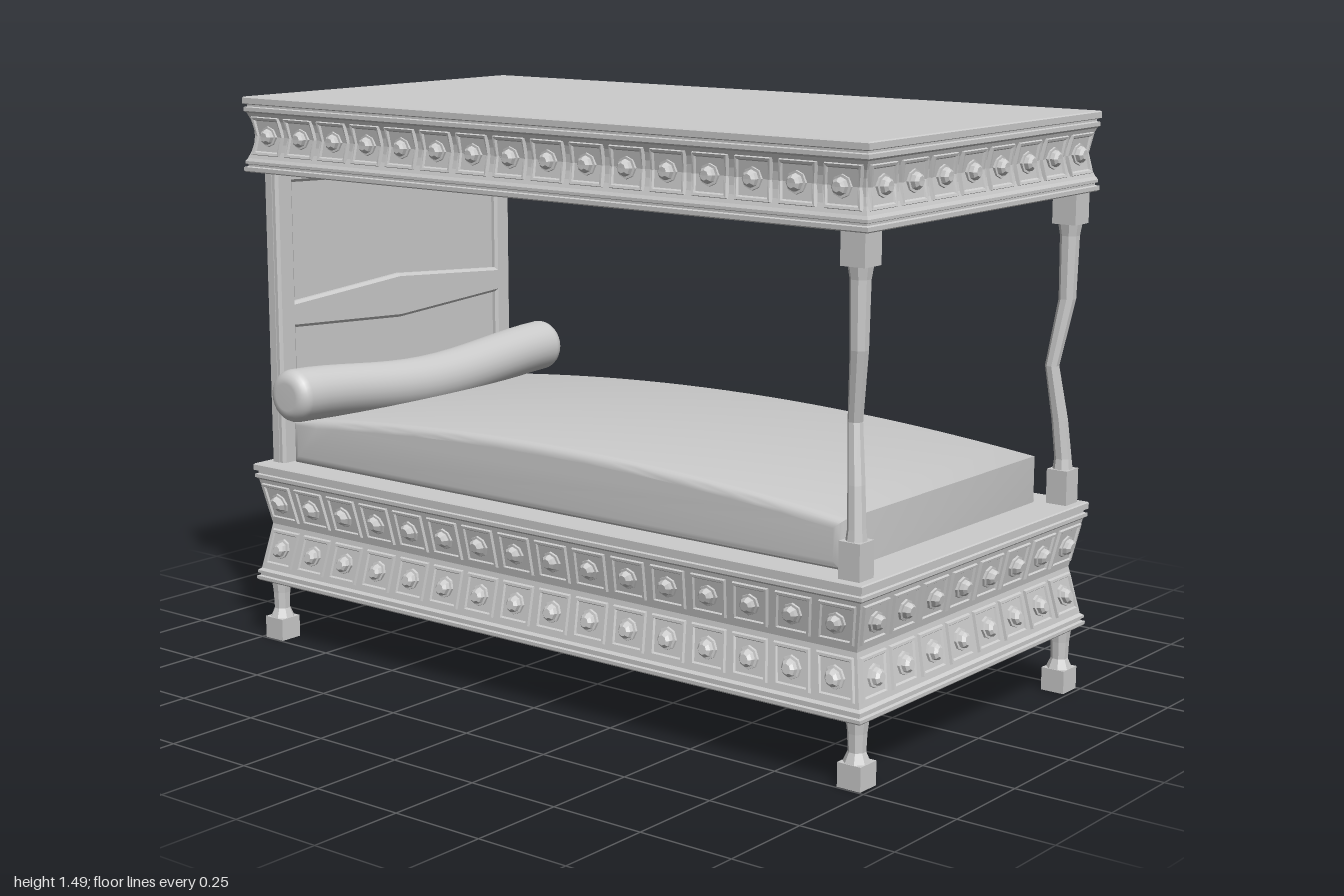
import * as THREE from 'three';
import { toCreasedNormals } from 'three/addons/utils/BufferGeometryUtils.js';

const HX = 0.998, HZ = 0.515;
const smooth = new THREE.MeshStandardMaterial({ color: 0xcccccc });
const flat = new THREE.MeshStandardMaterial({ color: 0xcccccc, flatShading: true });

function add(parent, name, geometry, material = flat, x = 0, y = 0, z = 0) {
  const mesh = new THREE.Mesh(geometry, material);
  mesh.name = name;
  mesh.position.set(x, y, z);
  parent.add(mesh);
  return mesh;
}

// Rectangular moulding: profile of [inset, y]; an inset of 1 closes it on the axis
function rectSweep(profile) {
  const pts = profile.map(([d, y]) => new THREE.Vector2(1 - d, y));
  const geo = new THREE.LatheGeometry(pts, 4, Math.PI / 4);
  const p = geo.attributes.position;
  for (let i = 0; i < p.count; i++) {
    const r = Math.hypot(p.getX(i), p.getZ(i));
    if (r < 0.01) { p.setXYZ(i, 0, p.getY(i), 0); continue; }
    const d = 1 - r;
    p.setX(i, Math.sign(p.getX(i)) * (HX - d));
    p.setZ(i, Math.sign(p.getZ(i)) * (HZ - d));
  }
  const out = geo.toNonIndexed();
  out.computeVertexNormals();
  return out;
}

// Rings of [half width, half height, raise] around a tile centre, joined by faces
const tileRings = (w, h) => [[w, h, -0.002], [w - 0.003, h - 0.003, 0.007], [w - 0.009, h - 0.009, 0.007],
  [w - 0.012, h - 0.012, 0.002], [0, 0, 0.002]];
const knobRings = [[0.028, 0.028, 0], [0.027, 0.027, 0.008], [0.021, 0.021, 0.009],
  [0.019, 0.019, 0.019], [0.012, 0.012, 0.026], [0, 0, 0.026]];

// One row of studded tiles round all four sides; inset(y) gives the wall's profile
function tileRow(yc, halfH, inset) {
  const pos = [];
  for (let side = 0; side < 4; side++) {
    const [along, depth, n] = side % 2 ? [HZ, HX, 8] : [HX, HZ, 16];
    const c = Math.round(Math.cos(side * Math.PI / 2)), s = Math.round(Math.sin(side * Math.PI / 2));
    const loft = (uc, rings, square) => {
      const point = (k, j) => {
        const a = (j % 8) * Math.PI / 4, cx = Math.cos(a), sy = Math.sin(a);
        const m = square ? 1 / Math.max(Math.abs(cx), Math.abs(sy)) : 1;
        const y = yc + rings[k][1] * sy * m, d = inset(y);
        const x = uc * (along - d) + rings[k][0] * cx * m;
        const z = depth - d + rings[k][2];
        return [x * c + z * s, y, -x * s + z * c];
      };
      for (let k = 0; k < rings.length - 1; k++) for (let j = 0; j < 8; j++) {
        const a = point(k, j), b = point(k, j + 1), e = point(k + 1, j + 1), f = point(k + 1, j);
        pos.push(...a, ...b, ...e);
        if (rings[k + 1][0] > 0) pos.push(...a, ...e, ...f);
      }
    };
    for (let i = 0; i < n; i++) {
      const uc = -1 + (2 * i + 1) / n;
      loft(uc, tileRings(0.84 * along / n, halfH), true);
      loft(uc, knobRings, false);
    }
  }
  const geo = new THREE.BufferGeometry();
  geo.setAttribute('position', new THREE.Float32BufferAttribute(pos, 3));
  geo.computeVertexNormals();
  return geo;
}

// Eight-sided shaft through stations of [y, radius, inward offset]
function shaft(stations, sx, sz) {
  const n = stations.length - 1;
  const geo = new THREE.CylinderGeometry(1, 1, 1, 8, n);
  geo.rotateY(Math.PI / 8);
  const p = geo.attributes.position;
  for (let i = 0; i < p.count; i++) {
    const [y, r, off] = stations[Math.round((p.getY(i) + 0.5) * n)];
    p.setXYZ(i, p.getX(i) * r - sx * off, y, p.getZ(i) * r - sz * off);
  }
  return geo;
}

function polygon(points, Type = THREE.Shape) {
  return new Type(points.map(([x, y]) => new THREE.Vector2(x, y)));
}

export function createModel() {
  const group = new THREE.Group();

  // Pinched bed frame with two rows of tiles
  const bedInset = y => 0.01 + 0.024 * (1 - Math.min(1, Math.abs(y - 0.325) / 0.125));
  add(group, 'bedFrame', rectSweep([
    [1, 0.166], [0.004, 0.166], [0, 0.17], [0, 0.178], [0.008, 0.18], [0.008, 0.185], [0.002, 0.187],
    [0.002, 0.194], [0.01, 0.2], [0.034, 0.325], [0.01, 0.45], [0.002, 0.456], [0.002, 0.465],
    [0.009, 0.467], [0.009, 0.473], [0, 0.476], [0, 0.491], [0.003, 0.494], [1, 0.494]]));
  add(group, 'upperBedTiles', tileRow(0.39, 0.051, bedInset));
  add(group, 'lowerBedTiles', tileRow(0.262, 0.051, bedInset));

  // Canopy: hollow moulded rim with a curved wall and one row of tiles
  const canopyInset = y => 0.008 + 0.014 * Math.max(0, 1 - ((y - 1.387) / 0.06) ** 2);
  const wall = [];
  for (let i = 0; i <= 6; i++) {
    const y = 1.327 + 0.02 * i;
    wall.push([canopyInset(y), y]);
  }
  add(group, 'canopy', rectSweep([
    [0.06, 1.29], [0.003, 1.29], [0, 1.293], [0, 1.303], [0.008, 1.305], [0.008, 1.31], [0.003, 1.312],
    [0.003, 1.319], ...wall, [0.002, 1.452], [0.002, 1.462], [0.009, 1.464], [0.009, 1.469],
    [0, 1.472], [0, 1.487], [0.003, 1.49], [1, 1.49]]));
  add(group, 'canopyTiles', tileRow(1.387, 0.052, canopyInset));

  // Canopy underside with a sunken ceiling
  const under = polygon([[-0.97, -0.49], [0.97, -0.49], [0.97, 0.49], [-0.97, 0.49]]);
  under.holes.push(polygon([[-0.93, -0.44], [-0.93, 0.44], [0.57, 0.44], [0.57, -0.44]], THREE.Path));
  const underGeo = new THREE.ExtrudeGeometry(under, { depth: 0.1, bevelEnabled: false });
  underGeo.rotateX(-Math.PI / 2);
  add(group, 'canopyUnderside', underGeo, flat, 0, 1.291, 0);
  add(group, 'canopyCeiling', new THREE.BoxGeometry(1.9, 0.02, 0.95), flat, 0, 1.4, 0);

  // Legs at all corners, bent posts at the foot end
  for (const sx of [-1, 1]) for (const sz of [-1, 1]) {
    const leg = new THREE.Group();
    leg.name = 'leg';
    leg.position.set(sx * 0.956, 0, sz * 0.463);
    add(leg, 'foot', new THREE.BoxGeometry(0.065, 0.06, 0.065), flat, 0, 0.03, 0);
    add(leg, 'legShaft', shaft([[0.058, 0.034, 0], [0.085, 0.022, 0], [0.13, 0.024, 0], [0.17, 0.029, 0]], 1, 1));
    group.add(leg);
    if (sx < 0) continue;
    const post = new THREE.Group();
    post.name = 'footPost';
    post.position.set(0.947, 0, sz * 0.465);
    add(post, 'postBase', new THREE.BoxGeometry(0.058, 0.09, 0.058), flat, 0, 0.538, 0);
    add(post, 'postShaft', shaft([[0.58, 0.026, 0], [0.61, 0.022, 0], [0.71, 0.021, 0.008], [0.85, 0.018, 0.025],
      [1.02, 0.022, 0.001], [1.18, 0.025, 0], [1.215, 0.031, 0]], 1, sz));
    add(post, 'postCapital', new THREE.BoxGeometry(0.066, 0.08, 0.066), flat, 0, 1.25, 0);
    group.add(post);
  }

  // Headboard: back slab and a front frame with two sunken panels
  add(group, 'headboardBack', new THREE.BoxGeometry(0.024, 0.8, 0.93), flat, -0.96, 0.892, 0);
  const frame = polygon([[-0.455, 0.492], [0.455, 0.492], [0.455, 1.292], [-0.455, 1.292]]);
  frame.holes.push(
    polygon([[-0.41, 1.265], [0, 1.25], [0.41, 1.265], [0.41, 0.925], [0, 0.955], [-0.41, 0.925]], THREE.Path),
    polygon([[-0.41, 0.87], [0, 0.846], [0.41, 0.87], [0.41, 0.56], [-0.41, 0.56]], THREE.Path));
  const frameGeo = new THREE.ExtrudeGeometry(frame,
    { depth: 0.012, bevelThickness: 0.007, bevelSize: 0.008, bevelSegments: 1 });
  frameGeo.rotateY(Math.PI / 2);
  add(group, 'headboardFrame', frameGeo, flat, -0.95, 0, 0);

  // Crowned mattress with rounded edges
  const side = new THREE.Shape();
  side.moveTo(-0.9, 0.515);
  side.lineTo(0.865, 0.515);
  side.lineTo(0.865, 0.592);
  side.quadraticCurveTo(-0.0175, 0.688, -0.9, 0.592);
  side.closePath();
  const mattress = new THREE.ExtrudeGeometry(side,
    { depth: 0.83, curveSegments: 24, bevelThickness: 0.025, bevelSize: 0.025, bevelSegments: 5 });
  add(group, 'mattress', toCreasedNormals(mattress, 0.7), smooth, 0, 0, -0.415);

  // Sagging bolster with rounded ends
  const L = 0.53, R = 0.072, e = 0.035, outline = [new THREE.Vector2(0, -L)];
  for (let i = 0; i <= 6; i++) {
    const a = i * Math.PI / 12;
    outline.push(new THREE.Vector2(R - e + e * Math.sin(a), -L + e - e * Math.cos(a)));
  }
  for (let i = 1; i < 16; i++) outline.push(new THREE.Vector2(R, (L - e) * (i / 8 - 1)));
  for (let i = 7; i >= 0; i--) outline.push(new THREE.Vector2(outline[i].x, -outline[i].y));
  const bolster = new THREE.LatheGeometry(outline, 28);
  bolster.rotateX(Math.PI / 2);
  const p = bolster.attributes.position;
  for (let i = 0; i < p.count; i++) {
    p.setY(i, p.getY(i) - 0.018 * (1 + Math.cos(Math.PI * p.getZ(i) / L)));
  }
  add(group, 'bolster', bolster, smooth, -0.847, 0.698, 0);

  return group;
}
